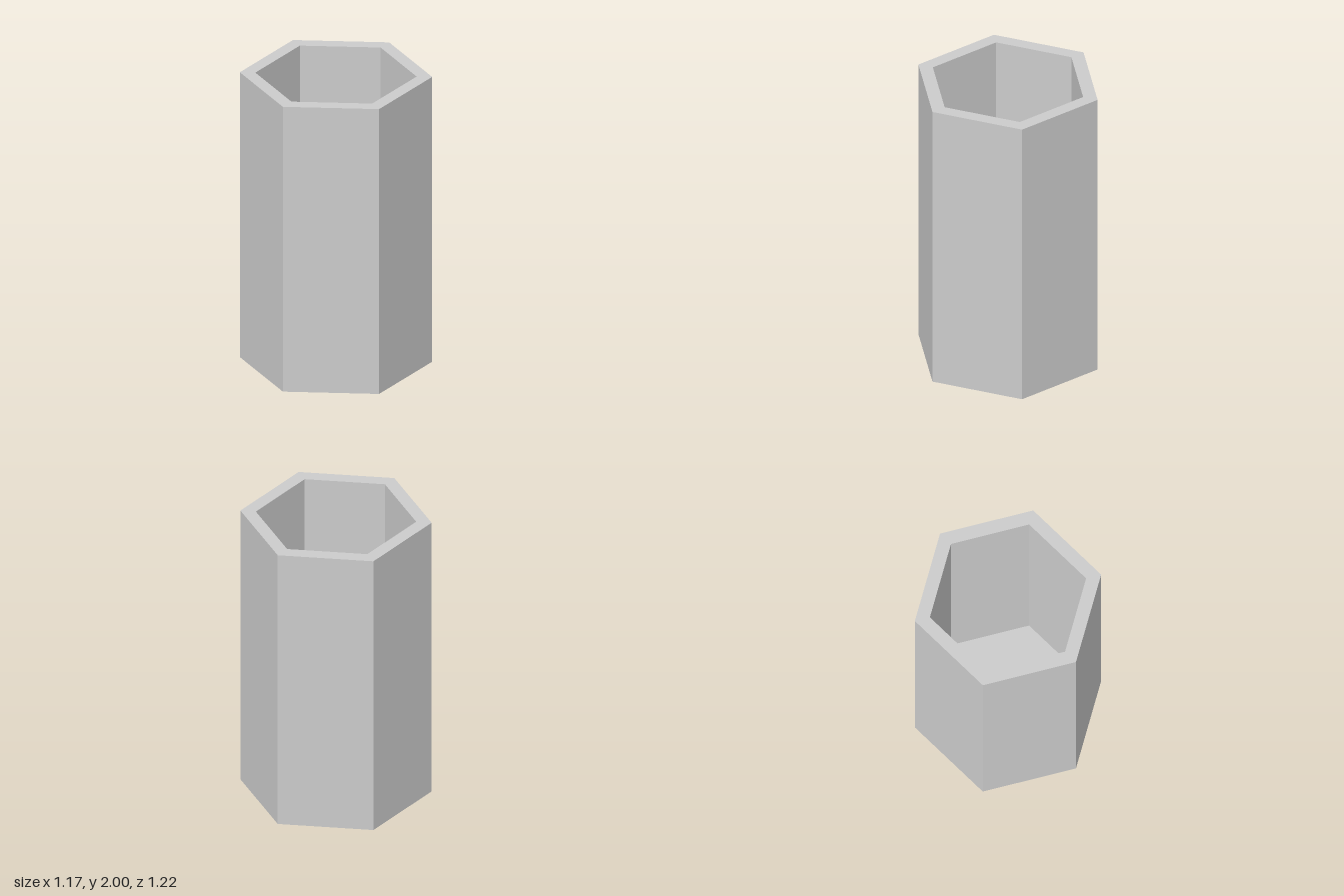
import * as THREE from 'three';

// Hexagonal cup: open at the top, closed by a floor at the bottom.
export function createModel() {
  const height = 2;
  const outerRadius = 0.62;
  const innerRadius = 0.52;
  const floorThickness = 0.1;
  const sides = 6;
  const twist = THREE.MathUtils.degToRad(10.6);

  // Half section: underside, outer wall, rim, inner wall, floor
  const profile = [
    [0, 0],
    [outerRadius, 0],
    [outerRadius, height],
    [innerRadius, height],
    [innerRadius, floorThickness],
    [0, floorThickness],
  ].map(([r, y]) => new THREE.Vector2(r, y));

  const material = new THREE.MeshStandardMaterial({ color: 0xcccccc, flatShading: true });
  const cup = new THREE.Mesh(new THREE.LatheGeometry(profile, sides, twist), material);
  cup.name = 'hexagonalCup';

  const model = new THREE.Group();
  model.name = 'hexagonalContainer';
  model.add(cup);
  return model;
}
